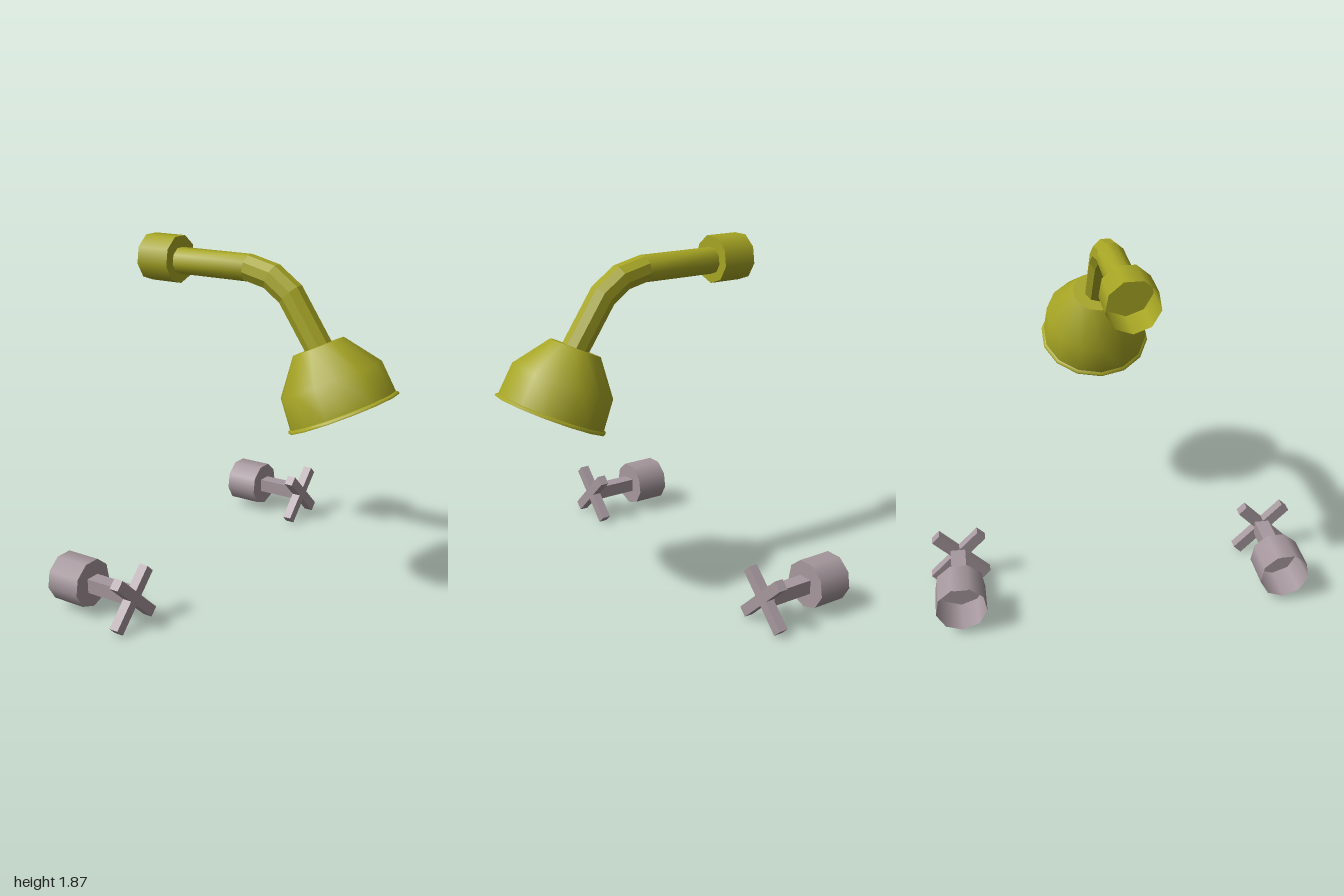
import * as THREE from 'three';

const olive = new THREE.MeshStandardMaterial({ color: 0xa6a524, side: THREE.DoubleSide });
olive.name = 'olive';
const grey = new THREE.MeshStandardMaterial({ color: 0xa6989e, side: THREE.DoubleSide });
grey.name = 'warm grey';
const SIDES = 9;

function add(parent, name, geometry, material) {
  const mesh = new THREE.Mesh(geometry, material);
  mesh.name = name;
  parent.add(mesh);
  return mesh;
}

// Wall cup: nine-sided sleeve along x, open at the wall, closed by a front plate
// that may have a square hole of half-width `hole`.
function addCup(parent, material, x, hole = 0) {
  const r = 0.131, length = 0.195;
  const sleeve = new THREE.CylinderGeometry(r, r, length, SIDES, 1, true, -Math.PI / 2);
  sleeve.rotateZ(Math.PI / 2).translate(x + length / 2, 0, 0);
  add(parent, 'wallCup', sleeve, material);

  const outline = [];
  for (let i = 0; i < SIDES; i++) {
    const a = -Math.PI / 2 + (i / SIDES) * Math.PI * 2;
    outline.push(new THREE.Vector2(r * Math.cos(a), r * Math.sin(a)));
  }
  const shape = new THREE.Shape(outline);
  if (hole) {
    shape.holes.push(new THREE.Path([[-1, -1], [-1, 1], [1, 1], [1, -1]]
      .map(([u, v]) => new THREE.Vector2(u * hole, v * hole))));
  }
  const plate = new THREE.ShapeGeometry(shape);
  plate.rotateY(Math.PI / 2).translate(x + length, 0, 0);
  add(parent, 'cupPlate', plate, material);
}

// Nine-sided pipe through path points in the xy plane, with mitred rings
function pipeGeometry(path, from, to, radius, flat) {
  const positions = [], index = [];
  const pts = path.map(([x, y]) => new THREE.Vector2(x, y));
  for (let i = from; i <= to; i++) {
    const before = pts[i].clone().sub(pts[Math.max(i - 1, 0)]).normalize();
    const after = pts[Math.min(i + 1, pts.length - 1)].clone().sub(pts[i]).normalize();
    const t = before.clone().add(after).normalize();
    const miter = 1 / Math.max(t.dot(after), t.dot(before));
    for (let j = 0; j < SIDES; j++) {
      const a = -Math.PI / 2 + (j / SIDES) * Math.PI * 2;
      const up = radius * Math.sin(a) * miter;
      positions.push(pts[i].x - t.y * up, pts[i].y + t.x * up, radius * Math.cos(a));
    }
  }
  for (let i = 0; i < to - from; i++) {
    for (let j = 0; j < SIDES; j++) {
      const k = (j + 1) % SIDES;
      const a = i * SIDES + j, b = a + SIDES, c = (i + 1) * SIDES + k, d = i * SIDES + k;
      index.push(a, b, c, a, c, d);
    }
  }
  let g = new THREE.BufferGeometry();
  g.setAttribute('position', new THREE.Float32BufferAttribute(positions, 3));
  g.setIndex(index);
  if (flat) g = g.toNonIndexed();
  g.computeVertexNormals();
  return g;
}

function lathe(points) {
  return new THREE.LatheGeometry(points.map(([r, y]) => new THREE.Vector2(r, y)), 14, Math.PI / 2);
}

function createShower() {
  const shower = new THREE.Group();
  shower.name = 'shower';

  const mount = new THREE.Group();
  mount.name = 'showerMount';
  mount.position.y = 1.751;
  addCup(mount, olive, -0.74);
  shower.add(mount);

  // Straight arm, then a faceted bend down to the head
  const path = [[-0.545, 1.744], [-0.105, 1.744], [0.038, 1.71], [0.15, 1.63], [0.33, 1.357]];
  add(shower, 'showerArm', pipeGeometry(path, 0, 1, 0.0735, false), olive);
  add(shower, 'showerBend', pipeGeometry(path, 1, 4, 0.0735, true), olive);

  // Flared, tilted head with a thin lip and a shallow dished face
  const head = new THREE.Group();
  head.name = 'showerHead';
  head.position.set(0.315, 1.38, 0);
  head.rotation.z = 0.434;
  add(head, 'headShell', lathe([[0.29, -0.35], [0.277, -0.182], [0.139, 0]]), olive);
  add(head, 'headLip', lathe([[0.303, -0.368], [0.303, -0.358], [0.29, -0.35]]), olive);
  add(head, 'headFace', lathe([[0, -0.352], [0.14, -0.35], [0.265, -0.345], [0.303, -0.368]]), olive);
  add(head, 'headTop', lathe([[0.139, 0], [0, 0]]), olive);
  shower.add(head);

  shower.position.z = 0.01;
  return shower;
}

function createTap(name) {
  const tap = new THREE.Group();
  tap.name = name;
  addCup(tap, grey, -0.75, 0.039);

  // Hollow square stem
  const stem = new THREE.CylinderGeometry(0.055, 0.055, 0.245, 4, 1, true, Math.PI / 4).toNonIndexed();
  stem.computeVertexNormals();
  stem.rotateZ(Math.PI / 2).translate(-0.4325, 0, 0);
  add(tap, 'tapStem', stem, grey);

  // Diagonal cross handle, its two bars slightly offset
  for (const s of [1, -1]) {
    const bar = add(tap, 'handleBar', new THREE.BoxGeometry(0.052, 0.058, 0.365), grey);
    bar.position.set(-0.284, -0.01, s > 0 ? 0.017 : 0);
    bar.rotation.x = s * Math.PI / 4;
  }
  return tap;
}

export function createModel() {
  const model = new THREE.Group();
  model.name = 'showerSet';
  model.add(createShower());
  for (const [name, z] of [['frontTap', 0.833], ['backTap', -0.85]]) {
    const tap = createTap(name);
    tap.position.set(0, 0.16, z);
    model.add(tap);
  }
  return model;
}
